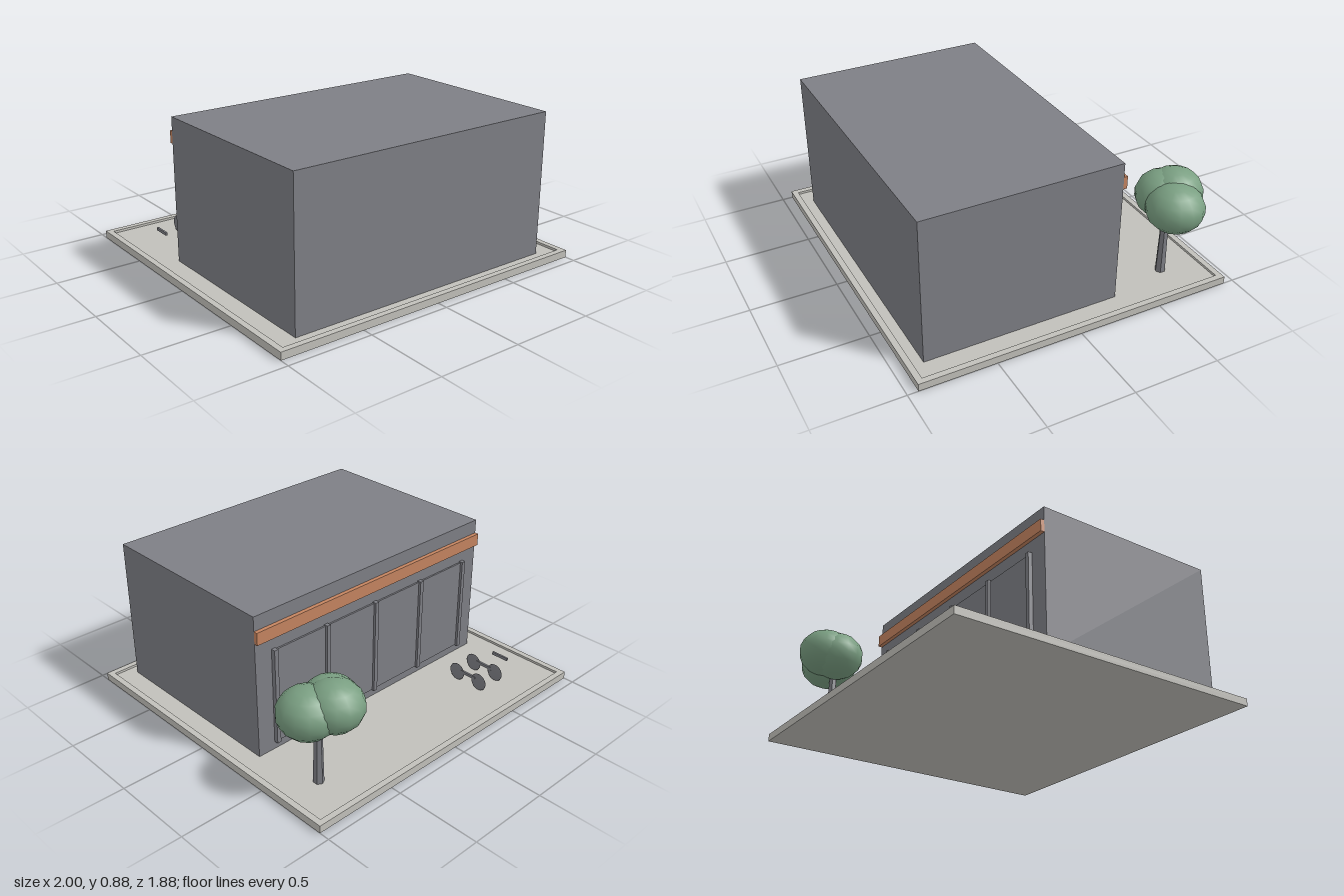
import * as THREE from 'three';

const mat = (name, color) => {
  const m = new THREE.MeshStandardMaterial({ color });
  m.name = name;
  return m;
};

export function createModel() {
  const root = new THREE.Group();
  root.name = 'pavilion';
  const grey = mat('slate grey', 0x7e7f85);
  const stone = mat('pale stone', 0xc1c0ba);
  const timber = mat('warm timber', 0xc48460);
  const leaf = mat('leaf green', 0x7a9f82);

  const add = (name, geometry, material, x, y, z, parent = root) => {
    const mesh = new THREE.Mesh(geometry, material);
    mesh.name = name;
    mesh.position.set(x, y, z);
    parent.add(mesh);
    return mesh;
  };
  // Box given by its limits on each axis
  const box = (name, material, x0, x1, y0, y1, z0, z1, parent) =>
    add(name, new THREE.BoxGeometry(x1 - x0, y1 - y0, z1 - z0), material,
      (x0 + x1) / 2, (y0 + y1) / 2, (z0 + z1) / 2, parent);

  // Paved plot with a low kerb
  box('paving', stone, -1, 1, 0, 0.03, -0.94, 0.94);
  for (const s of [-1, 1]) {
    add('sideKerb', new THREE.BoxGeometry(0.035, 0.014, 1.88), stone, s * 0.9825, 0.037, 0);
    add('endKerb', new THREE.BoxGeometry(1.93, 0.014, 0.035), stone, 0, 0.037, s * 0.9225);
  }

  // Building block with timber fascia over the glazed wall
  box('building', grey, -0.85, 0.85, 0.03, 0.88, -0.305, 0.845);
  box('fascia', timber, -0.85, 0.85, 0.725, 0.797, -0.328, -0.305);
  box('glazing', grey, -0.73, 0.73, 0.08, 0.645, -0.315, -0.305);
  for (let i = -2; i <= 2; i++) {
    const x = i * 0.365;
    box('mullion', grey, x - 0.0125, x + 0.0125, 0.075, 0.652, -0.33, -0.305);
  }

  // Tree: tapered trunk and three overlapping crowns
  const tree = new THREE.Group();
  tree.name = 'tree';
  root.add(tree);
  const trunk = new THREE.CylinderGeometry(0.022, 0.03, 0.36, 6).toNonIndexed();
  trunk.computeVertexNormals();
  add('trunk', trunk, grey, 0.76, 0.21, -0.67, tree);
  const crowns = [
    [0.83, 0.492, -0.673, 0.165, 0.138],
    [0.72, 0.517, -0.745, 0.16, 0.138],
    [0.69, 0.5, -0.69, 0.157, 0.138],
  ];
  for (const [x, y, z, r, h] of crowns) {
    add('crown', new THREE.SphereGeometry(1, 14, 9), leaf, x, y, z, tree).scale.set(r, h, r);
  }

  // Bicycles: flattened wheels joined by a bar, plus one lone bar
  [-0.79, -0.64, -0.49].forEach((x, i) => {
    const bike = new THREE.Group();
    bike.name = i ? 'bicycle' : 'rackBar';
    root.add(bike);
    box('bar', grey, x - 0.006, x + 0.006, 0.088, 0.106, -0.665, -0.555, bike);
    if (!i) return;
    for (const z of [-0.528, -0.69]) {
      add('wheel', new THREE.SphereGeometry(0.053, 16, 10), grey, x, 0.083, z, bike).scale.x = 0.1;
    }
  });

  return root;
}
